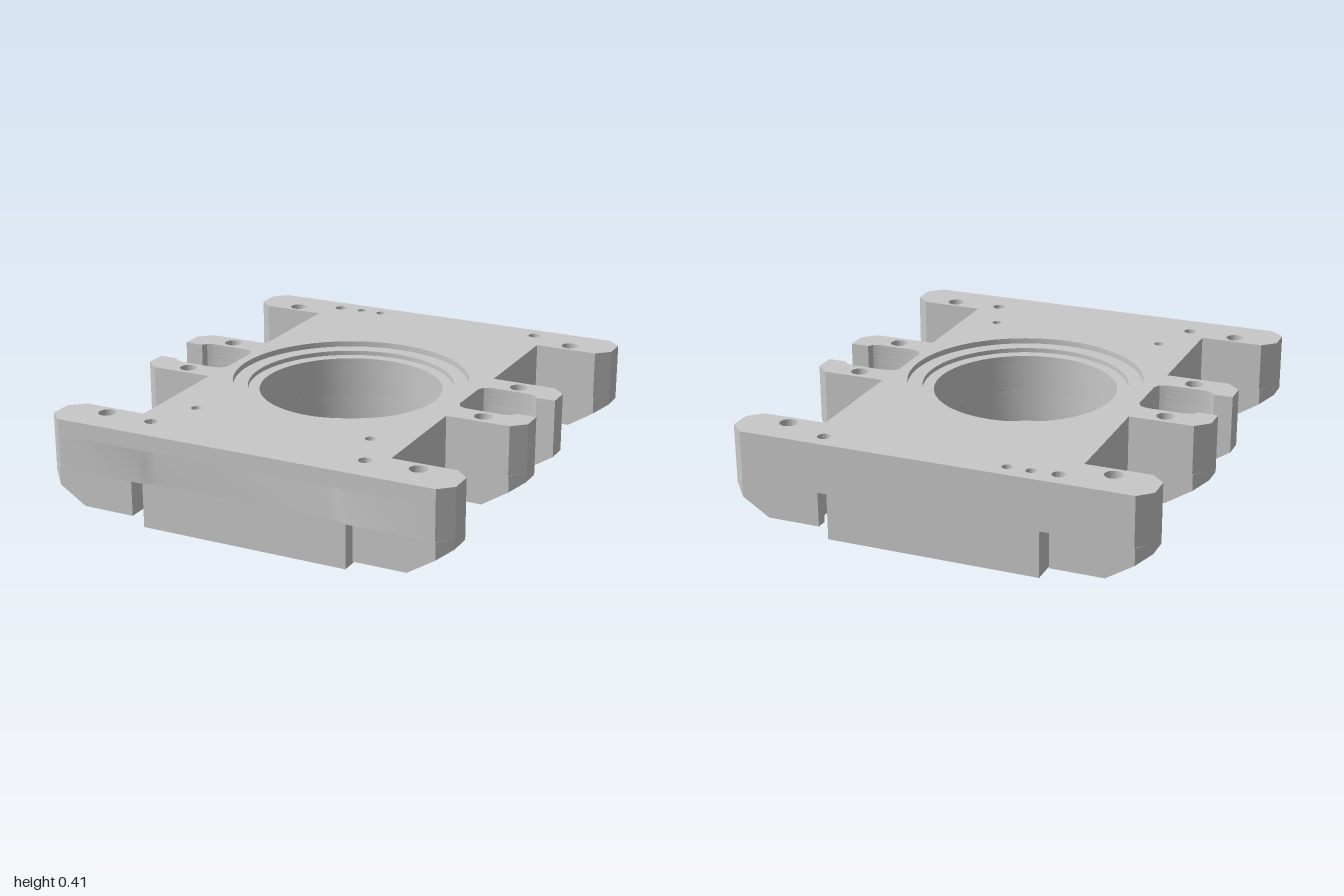
import * as THREE from 'three';
import { toCreasedNormals } from 'three/addons/utils/BufferGeometryUtils.js';
import { ConvexGeometry } from 'three/addons/geometries/ConvexGeometry.js';

export function createModel() {
  const model = new THREE.Group();
  model.name = 'machinedBasePlate';
  const metal = new THREE.MeshStandardMaterial({ color: 0xc8c8c8 });
  metal.name = 'greyMetal';

  const add = (name, geometry) => {
    const mesh = new THREE.Mesh(geometry, metal);
    mesh.name = name;
    model.add(mesh);
  };
  const box = (name, x0, x1, y0, y1, z0, z1) => {
    const g = new THREE.BoxGeometry(Math.abs(x1 - x0), y1 - y0, z1 - z0);
    add(name, g.translate((x0 + x1) / 2, (y0 + y1) / 2, (z0 + z1) / 2));
  };
  // Plan outline [x, z] (clockwise) extruded upwards, with round holes [x, z, radius]
  const slab = (name, outline, holes, y0, y1) => {
    const shape = new THREE.Shape(outline.map(([x, z]) => new THREE.Vector2(x, -z)));
    for (const [x, z, r] of holes) {
      const path = new THREE.Path();
      path.absarc(x, -z, r, 0, Math.PI * 2, false);
      shape.holes.push(path);
    }
    const g = new THREE.ExtrudeGeometry(shape, {
      depth: y1 - y0, bevelEnabled: false, curveSegments: 32,
    });
    g.rotateX(-Math.PI / 2).translate(0, y0, 0);
    add(name, toCreasedNormals(g, 0.5));
  };

  // One quarter of the plan, from the back edge to the side pocket
  const quarter = [
    [0.845, -1], [0.903, -0.945], [0.903, -0.845], [0.845, -0.79], [0.565, -0.79],
    [0.565, -0.26], [0.845, -0.26], [0.903, -0.205], [0.903, -0.11], [0.82, -0.11],
    [0.805, -0.13], [0.775, -0.142], [0.605, -0.142], [0.572, -0.13], [0.557, -0.1],
  ];
  const half = [...quarter, ...quarter.map(([x, z]) => [x, -z]).reverse()];
  const mirrored = half.map(([x, z]) => [-x, z]).reverse();
  const outline = [...half, ...mirrored];
  // Shallow front recess that fades out at both ends
  const fade = [[0.465, 1], [0.43, 0.986], [0.39, 0.98]];
  const recessed = [...half, ...fade, ...fade.map(([x, z]) => [-x, z]).reverse(), ...mirrored];

  // Hole patterns
  const screws = (r) => [-0.705, 0.705].flatMap((x) =>
    [-0.845, -0.2, 0.2, 0.845].map((z) => [x, z, r]));
  const through = [[-0.508, -0.92, 0.028], [0.502, -0.92, 0.028],
    [-0.487, 0.855, 0.028], [0.483, 0.855, 0.028]];
  const pins = [[-0.397, -0.927, 0.022], [-0.297, -0.927, 0.022],
    [-0.405, 0.635, 0.022], [0.4, 0.635, 0.022]];

  // Top plate, stepping inwards at the bore
  const upper = [...screws(0.038), ...through, ...pins];
  slab('topPlateRim', outline, [[0, 0, 0.515], ...upper], 0.39, 0.415);
  slab('topPlateStep', outline, [[0, 0, 0.45], ...upper], 0.37, 0.39);
  slab('topPlateBody', outline, [[0, 0, 0.4], ...upper], 0.345, 0.37);
  slab('lowerPlate', recessed, [[0, 0, 0.4], ...screws(0.022), ...through], 0.2, 0.345);

  // Round cup hanging below the plate
  const cup = [[0, 0], [0.515, 0], [0.515, 0.2], [0.4, 0.2], [0.4, 0.05], [0, 0.05]];
  add('bearingCup', toCreasedNormals(
    new THREE.LatheGeometry(cup.map(([x, y]) => new THREE.Vector2(x, y)), 72), 0.5));

  // Underside of an arm: sloped towards the tip, corners cut by c0 and c1
  const lug = (name, s, x0, z0, z1, c0, c1) => {
    const slopeY = (x) => Math.max(0.05, 0.16 - (0.903 - x) * 0.636);
    const pts = [];
    for (const [z, c, dir] of [[z0, c0, 1], [z1, c1, -1]]) {
      for (const [x, zz] of [[x0, z], [0.903 - c, z], [0.903, z + dir * c]]) {
        pts.push(new THREE.Vector3(s * x, 0.2, zz));
        pts.push(new THREE.Vector3(s * x, slopeY(x), zz));
      }
      if (x0 < 0.73) pts.push(new THREE.Vector3(s * 0.73, 0.05, z));
    }
    add(name, new ConvexGeometry(pts));
  };

  for (const s of [-1, 1]) {
    // End arms, with a thin lip closing the slot beside each end bar
    lug('backArm', s, 0.53, -1, -0.79, 0.055, 0.055);
    lug('frontArm', s, 0.53, 0.79, 1, 0.055, 0.055);
    box('backSlotLip', s * 0.5, s * 0.53, 0.05, 0.2, -1, -0.95);
    box('frontSlotLip', s * 0.5, s * 0.53, 0.05, 0.2, 0.885, 1);
    // Middle arms with hooked tips
    lug('middleBackArm', s, 0.515, -0.26, -0.142, 0.055, 0);
    lug('middleBackHook', s, 0.805, -0.142, -0.11, 0, 0);
    lug('middleFrontArm', s, 0.515, 0.142, 0.26, 0, 0.055);
    lug('middleFrontHook', s, 0.805, 0.11, 0.142, 0, 0);
    // Side rails (the left one stops short at the back) and pocket walls beside the cup
    box('sideRail', s * 0.5, s * 0.565, 0.05, 0.2, s > 0 ? -0.53 : -0.71, -0.142);
    box('sideRail', s * 0.5, s * 0.565, 0.05, 0.2, 0.142, 0.7);
    box('pocketWall', s * 0.46, s * 0.557, 0, 0.2, -0.142, 0.142);
  }

  // End bars with blind holes from below
  for (const [name, z0, z1, zh] of [['backBar', -1, -0.74, -0.83], ['frontBar', 0.7, 0.98, 0.785]]) {
    const rect = [[-0.46, z0], [0.46, z0], [0.46, z1], [-0.46, z1]];
    slab(name, rect, [[-0.265, zh, 0.052], [0.265, zh, 0.052]], 0, 0.1);
    box(name + 'Root', -0.46, 0.46, 0.1, 0.2, z0, z1);
  }
  return model;
}
